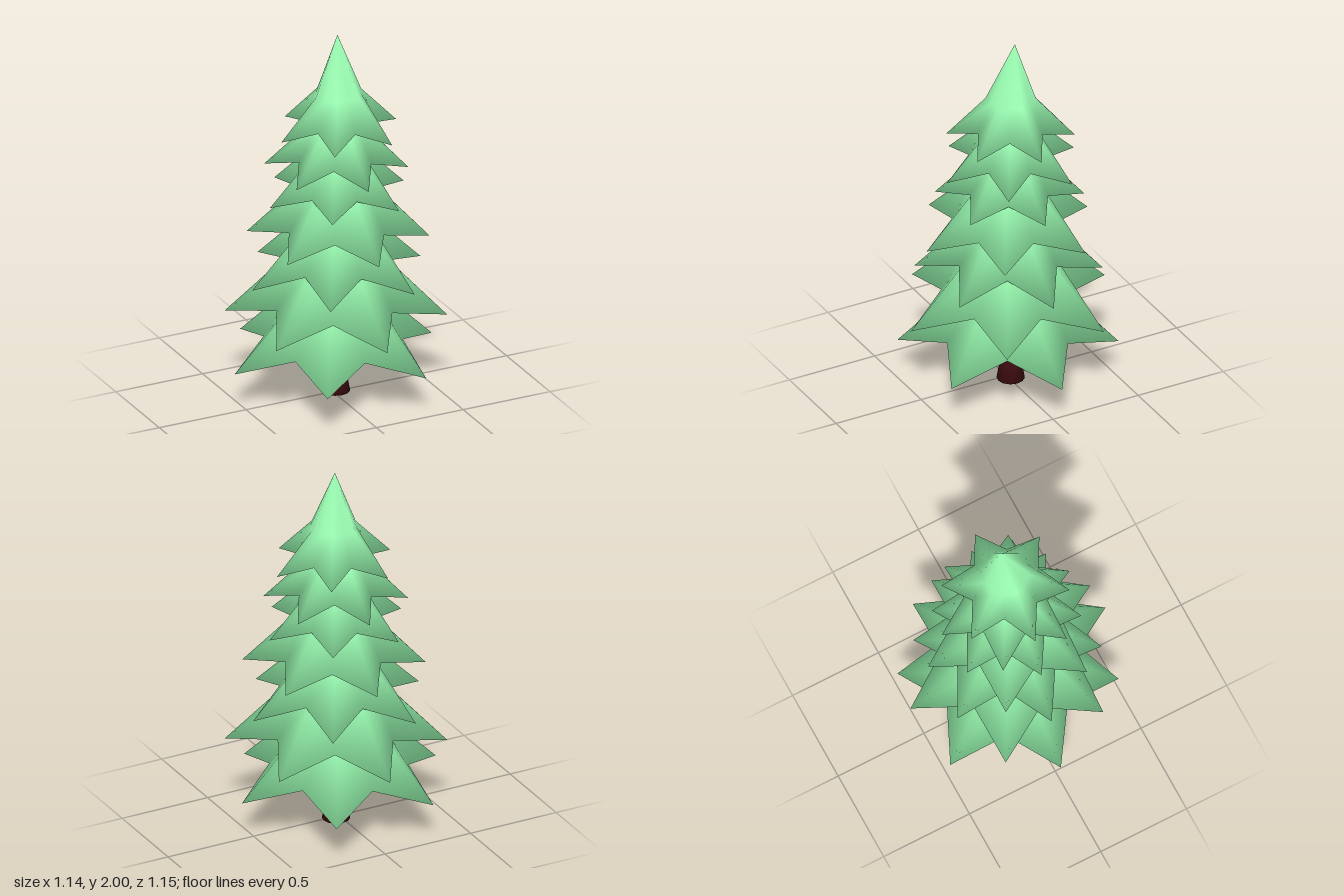
import * as THREE from 'three';
import { mergeVertices } from 'three/addons/utils/BufferGeometryUtils.js';

const leafMat = new THREE.MeshStandardMaterial({ color: 0x98f9b0, side: THREE.DoubleSide });
const barkMat = new THREE.MeshStandardMaterial({ color: 0x400d10 });

// Smooth closed skin over stacked rings of equal point count, from underside to apex
function skin(rings) {
  const n = rings[0].length, index = [];
  for (let j = 0; j < rings.length - 1; j++) {
    for (let i = 0; i < n; i++) {
      const a = j * n + i, b = j * n + (i + 1) % n;
      index.push(a, a + n, b, b, a + n, b + n);
    }
  }
  const geo = new THREE.BufferGeometry().setFromPoints(rings.flat());
  geo.setIndex(index);
  const merged = mergeVertices(geo);
  merged.computeVertexNormals();
  return merged;
}

// Star-shaped ring: six tips alternating with six valleys
function starRing(cx, cz, turn, tipR, tipY, valleyR = tipR, valleyY = tipY) {
  return Array.from({ length: 12 }, (_, i) => {
    const a = turn + i * Math.PI / 6;
    const r = i % 2 ? valleyR : tipR, y = i % 2 ? valleyY : tipY;
    return new THREE.Vector3(cx + r * Math.cos(a), y, cz + r * Math.sin(a));
  });
}

// One tier of branches: shallow vaulted underside, drooping star rim, steep crown
function branchTier({ x, z, r, y, rise, valley, neck, neckY, top, apex }, turn) {
  const vy = y + rise;
  return new THREE.Mesh(skin([
    starRing(x, z, turn, 0, vy + 0.065),
    starRing(x, z, turn, r * 0.12, vy + 0.055),
    starRing(x, z, turn, r, y, r * valley, vy),
    starRing(x, z, turn, neck, neckY, neck * 0.9, neckY),
    starRing(apex[0], apex[1], turn, 0, top),
  ]), leafMat);
}

export function createModel() {
  const tree = new THREE.Group();
  tree.name = 'tree';

  // Trunk flaring at the foot
  const profile = [[0, 0], [0.073, 0], [0.052, 0.12], [0.044, 0.18], [0.042, 0.5], [0, 0.5]]
    .map(p => new THREE.Vector2(...p));
  const trunk = new THREE.Mesh(new THREE.LatheGeometry(profile, 12), barkMat);
  trunk.position.set(0.024, 0, -0.012);
  trunk.name = 'trunk';
  tree.add(trunk);

  // Tiers from the bottom up: centre x, z, tip radius, tip height, valley rise, valley ratio, turn
  const tiers = [
    [0.005, -0.007, 0.57, 0.212, 0.09, 0.63, -0.01],
    [0.018, 0.0, 0.573, 0.445, 0.08, 0.6, -0.015],
    [0.02, -0.002, 0.485, 0.665, 0.085, 0.6, 0],
    [0.025, 0.01, 0.472, 0.895, 0.06, 0.6, 0],
    [0.025, -0.005, 0.385, 1.11, 0.05, 0.6, 0],
    [0.025, -0.01, 0.372, 1.272, 0.06, 0.58, 0],
    [0.036, -0.006, 0.331, 1.466, 0.055, 0.58, 0],
  ];
  tiers.forEach(([x, z, r, y, rise, valley, turn], i) => {
    const last = i === tiers.length - 1;
    const tier = branchTier({
      x, z, r, y, rise, valley,
      neck: last ? 0.13 : r * 0.4,
      neckY: last ? 1.68 : y + r * 0.6,
      top: last ? 2 : y + r * 1.5,
      apex: last ? [0.04, -0.028] : [x, z],
    }, turn + (i % 2) * Math.PI / 6);
    tier.name = last ? 'treeTop' : `branchTier${i + 1}`;
    tree.add(tier);
  });
  return tree;
}
